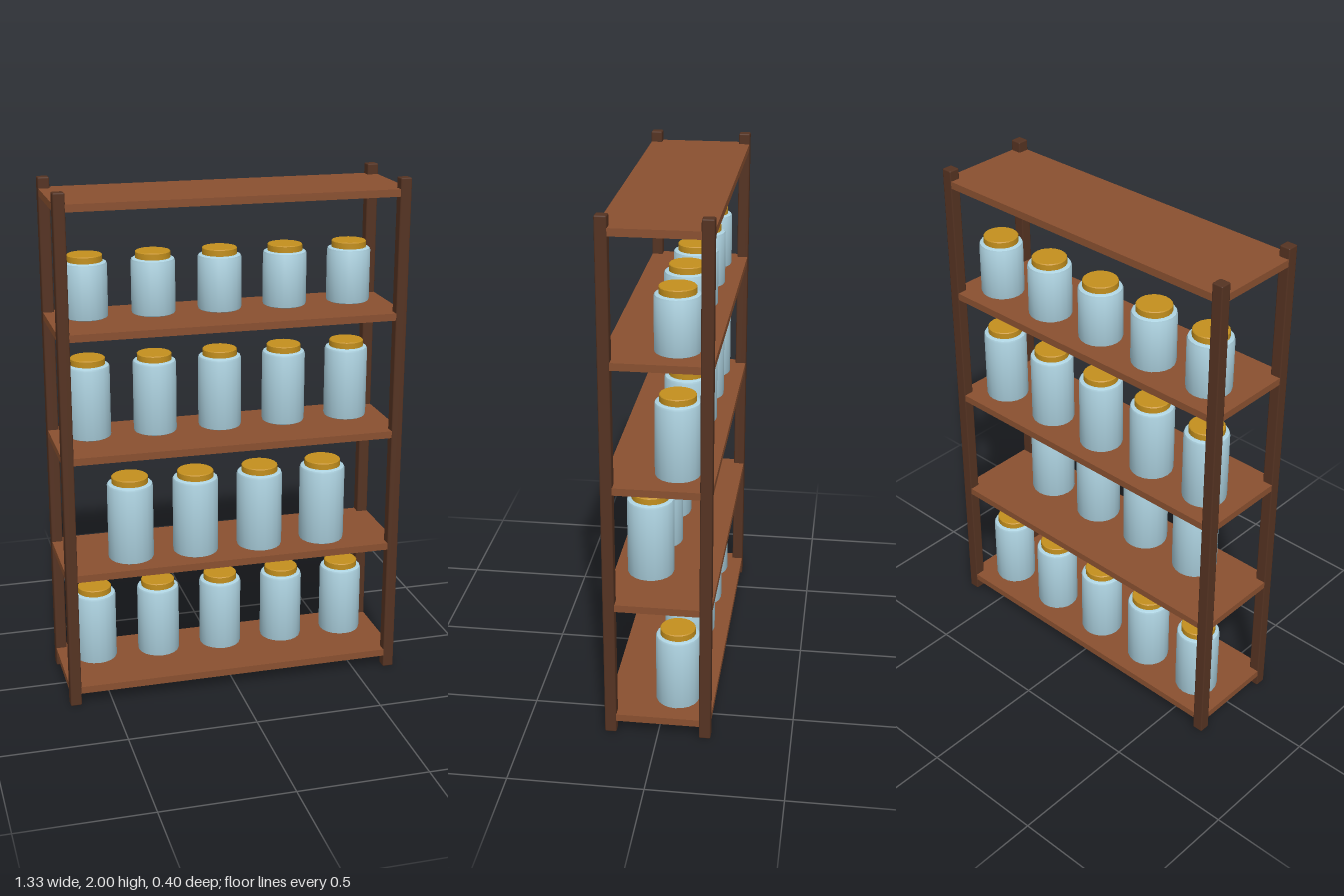
import * as THREE from 'three';
import { RoundedBoxGeometry } from 'three/addons/geometries/RoundedBoxGeometry.js';
import { toCreasedNormals } from 'three/addons/utils/BufferGeometryUtils.js';

const material = (name, color) => {
  const m = new THREE.MeshStandardMaterial({ color });
  m.name = name;
  return m;
};

// Turns an [radius, height] profile into a solid with sharp rims.
const turned = (points, sides) => toCreasedNormals(
  new THREE.LatheGeometry(points.map(([r, y]) => new THREE.Vector2(r, y)), sides), 0.7);

export function createModel() {
  const shelfWood = material('shelf wood', 0x8a5030);
  const postWood = material('dark post wood', 0x553322);
  const glass = material('pale blue glass', 0xadd2e0);
  const brass = material('golden lid', 0xc4901e);

  const model = new THREE.Group();
  model.name = 'shelfWithJars';
  const add = (parent, name, geometry, mat, x, y, z) => {
    const mesh = new THREE.Mesh(geometry, mat);
    mesh.name = name;
    mesh.position.set(x, y, z);
    parent.add(mesh);
  };

  // Four corner posts
  const postGeometry = new RoundedBoxGeometry(0.044, 2, 0.044, 1, 0.005);
  for (const x of [-0.645, 0.645])
    for (const z of [-0.178, 0.178]) add(model, 'post', postGeometry, postWood, x, 1, z);

  // Five evenly spaced boards, each set just inside the post faces
  const boardGeometry = new THREE.BoxGeometry(1.33, 0.028, 0.396);
  for (let i = 0; i < 5; i++) add(model, 'shelfBoard', boardGeometry, shelfWood, 0, 0.063 + i * 0.4705, 0);

  // Rows of jars: standing height, body height, radius, lid radius, depth and count
  const rows = [
    { y: 0.077, h: 0.285, r: 0.084, lid: 0.067, z: -0.059, count: 5 },
    { y: 0.5475, h: 0.31, r: 0.089, lid: 0.071, z: 0.061, count: 4 },
    { y: 1.018, h: 0.287, r: 0.084, lid: 0.067, z: -0.059, count: 5 },
    { y: 1.4885, h: 0.213, r: 0.084, lid: 0.067, z: -0.059, count: 5 },
  ];
  for (const { y, h, r, lid, z, count } of rows) {
    const body = turned([[0, 0], [r - 0.008, 0], [r - 0.002, 0.003], [r, 0.01],
      [r, h - 0.012], [r - 0.003, h - 0.004], [r - 0.011, h], [0, h]], 20);
    const cap = turned([[0, 0], [lid, 0], [lid, 0.023], [lid - 0.003, 0.026], [0, 0.026]], 20);
    for (let i = 0; i < count; i++) {
      const jar = new THREE.Group();
      jar.name = 'jar';
      jar.position.set((i - (count - 1) / 2) * 0.259, y, z);
      add(jar, 'jarBody', body, glass, 0, 0, 0);
      add(jar, 'jarLid', cap, brass, 0, h - 0.0005, 0);
      model.add(jar);
    }
  }
  return model;
}
